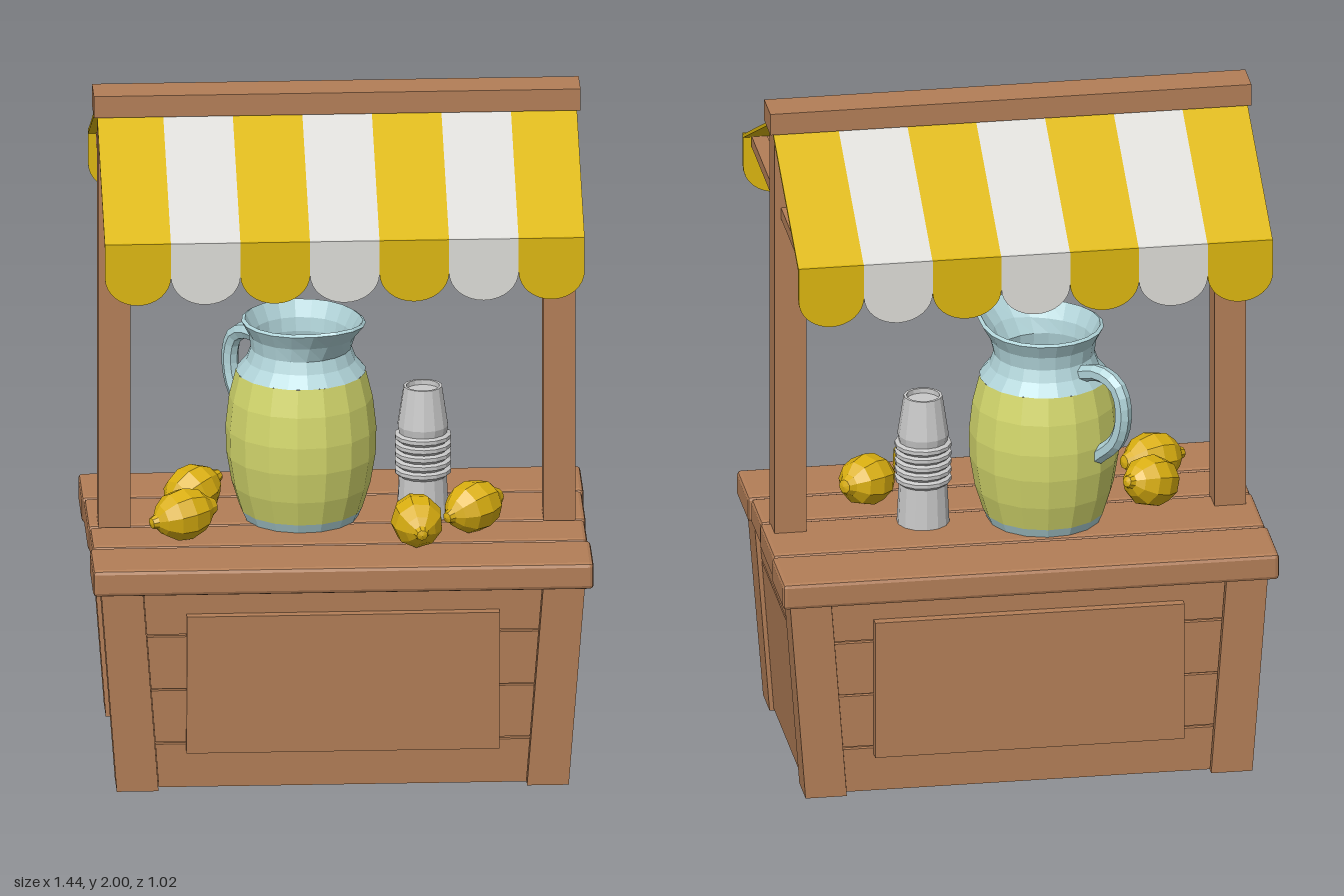
import * as THREE from 'three';
import { RoundedBoxGeometry } from 'three/addons/geometries/RoundedBoxGeometry.js';

const mat = (name, color) => {
  const m = new THREE.MeshStandardMaterial({ color, flatShading: true });
  m.name = name;
  return m;
};

export function createModel() {
  const root = new THREE.Group();
  root.name = 'drinkStand';
  const wood = mat('wood', 0xb37e57);
  const yellow = mat('awningYellow', 0xdcb70f);
  const white = mat('awningWhite', 0xdddcd8);
  const lemonSkin = mat('lemonSkin', 0xd9ae10);
  const glass = mat('paleBlueGlass', 0xb0d3d8);
  const juice = mat('lemonade', 0xd3d76c);
  const paper = mat('paperCup', 0xc9c9c9);

  const add = (parent, name, geo, material, x = 0, y = 0, z = 0) => {
    const m = new THREE.Mesh(geo, material);
    m.name = name;
    m.position.set(x, y, z);
    parent.add(m);
    return m;
  };
  const box = (name, w, h, d, x, y, z, parent = root, material = wood) =>
    add(parent, name, new THREE.BoxGeometry(w, h, d), material, x, y, z);
  const lathe = (pts, sides) =>
    new THREE.LatheGeometry(pts.map(([r, y]) => new THREE.Vector2(r, y)), sides);

  // Six-sided block whose bottom and top rectangles [x0, x1, z0, z1] differ
  const block = (name, y0, y1, bottom, top) => {
    const g = new THREE.BoxGeometry(1, 1, 1);
    const p = g.attributes.position;
    for (let i = 0; i < p.count; i++) {
      const up = p.getY(i) > 0;
      const r = up ? top : bottom;
      const xs = [Math.min(r[0], r[1]), Math.max(r[0], r[1])];
      const zs = [Math.min(r[2], r[3]), Math.max(r[2], r[3])];
      p.setXYZ(i, xs[p.getX(i) > 0 ? 1 : 0], up ? y1 : y0, zs[p.getZ(i) > 0 ? 1 : 0]);
    }
    g.computeVertexNormals();
    return add(root, name, g, wood);
  };

  // Outer faces of the crate lean outward with height
  const sideX = y => 0.65 + 0.075 * y;
  const frontZ = y => 0.388 + 0.035 * y;
  const faceZ = (s, y) => (s > 0 ? frontZ(y) : -0.385);

  // Crate: core, corner posts, wall planks and raised panels
  const core = y => [-sideX(y) + 0.03, sideX(y) - 0.03, -0.36, frontZ(y) - 0.025];
  block('crateCore', 0.005, 0.62, core(0), core(0.62));
  for (const s of [1, -1]) {
    for (const sx of [1, -1]) {
      const rect = y => [sx * (sideX(y) - 0.12), sx * sideX(y), s * 0.27, faceZ(s, y)];
      block('cornerPost', 0, 0.62, rect(0), rect(0.62));
    }
    for (const [a, b] of [[0.008, 0.14], [0.148, 0.305], [0.311, 0.47], [0.478, 0.615]]) {
      const rect = y => [0.122 - sideX(y), sideX(y) - 0.122, s * 0.3, faceZ(s, y) - s * 0.012];
      block('wallPlank', a, b, rect(a), rect(b));
    }
    for (const [a, b] of [[0.008, 0.47], [0.478, 0.615]]) {
      const rect = y => [s * 0.5, s * (sideX(y) - 0.012), -0.265, 0.265];
      block('sidePlank', a, b, rect(a), rect(b));
    }
    const panel = y => [-0.45, 0.45, s * 0.34, faceZ(s, y) + s * 0.016];
    block('raisedPanel', 0.12, 0.54, panel(0.12), panel(0.54));
  }

  // Counter planks
  [[-0.43, -0.213, 0.722], [-0.207, 0.037, 0.716], [0.043, 0.222, 0.712], [0.228, 0.437, 0.72]]
    .forEach(([z0, z1, half]) => add(root, 'counterPlank',
      new RoundedBoxGeometry(half * 2, 0.08, z1 - z0, 1, 0.012), wood, 0, 0.648, (z0 + z1) / 2));

  // Uprights, ridge and awning frame
  box('ridgeBeam', 1.4, 0.065, 0.112, 0, 1.9675, 0);
  for (const s of [1, -1]) {
    box('upright', 0.092, 1.27, 0.094, s * 0.64, 1.315, 0);
    box('crossBeam', 0.045, 0.034, 0.98, s * 0.645, 1.686, 0);
    box('eaveRail', 1.3, 0.03, 0.035, 0, 1.682, s * 0.48);
  }

  // Striped awning with scalloped valance, one copy per side
  const edges = [-0.69, -0.5, -0.3, -0.1, 0.1, 0.3, 0.5, 0.69];
  const run = 0.465, fall = 0.235;
  for (const s of [1, -1]) {
    const awning = new THREE.Group();
    awning.name = s > 0 ? 'frontAwning' : 'backAwning';
    awning.rotation.y = s > 0 ? 0 : Math.PI;
    root.add(awning);
    for (let i = 0; i < 7; i++) {
      const x0 = edges[i], x1 = edges[i + 1], w = x1 - x0;
      const m = i % 2 ? white : yellow;
      const slope = box('awningStripe', w, 0.01, Math.hypot(run, fall),
        (x0 + x1) / 2, 1.815, 0.04 + run / 2, awning, m);
      slope.rotation.x = Math.atan2(fall, run);
      const flap = new THREE.Shape();
      flap.moveTo(x0, 1.706);
      flap.lineTo(x0, 1.605);
      flap.absellipse((x0 + x1) / 2, 1.605, w / 2, 0.085, Math.PI, Math.PI * 2, false, 0);
      flap.lineTo(x1, 1.706);
      const g = new THREE.ExtrudeGeometry(flap, { depth: 0.01, bevelEnabled: false, curveSegments: 8 });
      add(awning, 'valanceScallop', g, m, 0, 0, 0.5);
    }
  }

  // Pitcher: local +x is the spout, local -x the handle
  const pitcher = new THREE.Group();
  pitcher.name = 'pitcher';
  pitcher.position.set(-0.1, 0, -0.035);
  pitcher.rotation.y = -0.88;
  root.add(pitcher);
  add(pitcher, 'pitcherBase', lathe([[0, 0.688], [0.165, 0.688], [0.177, 0.715]], 16), glass);
  add(pitcher, 'lemonadeBody', lathe([[0.177, 0.715], [0.2, 0.79], [0.215, 0.88], [0.217, 0.96],
    [0.207, 1.05], [0.187, 1.13]], 16), juice);
  const neck = lathe([[0.187, 1.13], [0.158, 1.165], [0.145, 1.2], [0.15, 1.24], [0.172, 1.282],
    [0.162, 1.288], [0.138, 1.24], [0.132, 1.2], [0.14, 1.15], [0, 1.15]], 20);
  const p = neck.attributes.position;
  for (let i = 0; i < p.count; i++) {
    // Pull the rim out and up into a spout
    const t = Math.max(0, (p.getY(i) - 1.2) / 0.088);
    const r = Math.hypot(p.getX(i), p.getZ(i)) || 1;
    const c = Math.max(0, p.getX(i) / r) ** 3;
    p.setX(i, p.getX(i) + 0.055 * c * t);
    p.setY(i, p.getY(i) + 0.02 * c * t);
  }
  neck.computeVertexNormals();
  add(pitcher, 'pitcherNeck', neck, glass);
  const grip = new THREE.CatmullRomCurve3([[-0.14, 1.17], [-0.215, 1.19], [-0.28, 1.165],
    [-0.303, 1.09], [-0.28, 1.0], [-0.205, 0.93]].map(([x, y]) => new THREE.Vector3(x, y, 0)));
  add(pitcher, 'pitcherHandle', new THREE.TubeGeometry(grip, 14, 0.025, 7), glass);

  // Stack of upturned cups with ridged rims
  const stack = [[0.076, 0.688], [0.07, 0.81]];
  for (let y = 0.82; y < 0.945; y += 0.026) stack.push([0.082, y], [0.082, y + 0.011], [0.07, y + 0.016]);
  stack.push([0.074, 0.962], [0.056, 1.08], [0.048, 1.08], [0.047, 1.066], [0, 1.066]);
  add(root, 'cupStack', lathe(stack, 14), paper, 0.25, 0, -0.02);

  // Lemons: position, then direction of the tip
  const lemonGeo = lathe([[0, -0.105], [0.02, -0.1], [0.032, -0.08], [0.062, -0.052], [0.076, -0.005],
    [0.07, 0.04], [0.045, 0.075], [0.022, 0.092], [0.016, 0.108], [0, 0.113]], 9);
  const up = new THREE.Vector3(0, 1, 0);
  [[-0.445, 0.763, 0.16, -0.9, -0.1, 0.45], [-0.415, 0.768, -0.02, 0.7, 0.25, -0.55],
    [0.22, 0.763, 0.245, 0.1, -0.1, 1], [0.39, 0.763, 0.13, -0.75, -0.1, 0.65]]
    .forEach(([x, y, z, dx, dy, dz]) => {
      add(root, 'lemon', lemonGeo, lemonSkin, x, y, z)
        .quaternion.setFromUnitVectors(up, new THREE.Vector3(dx, dy, dz).normalize());
    });

  return root;
}
